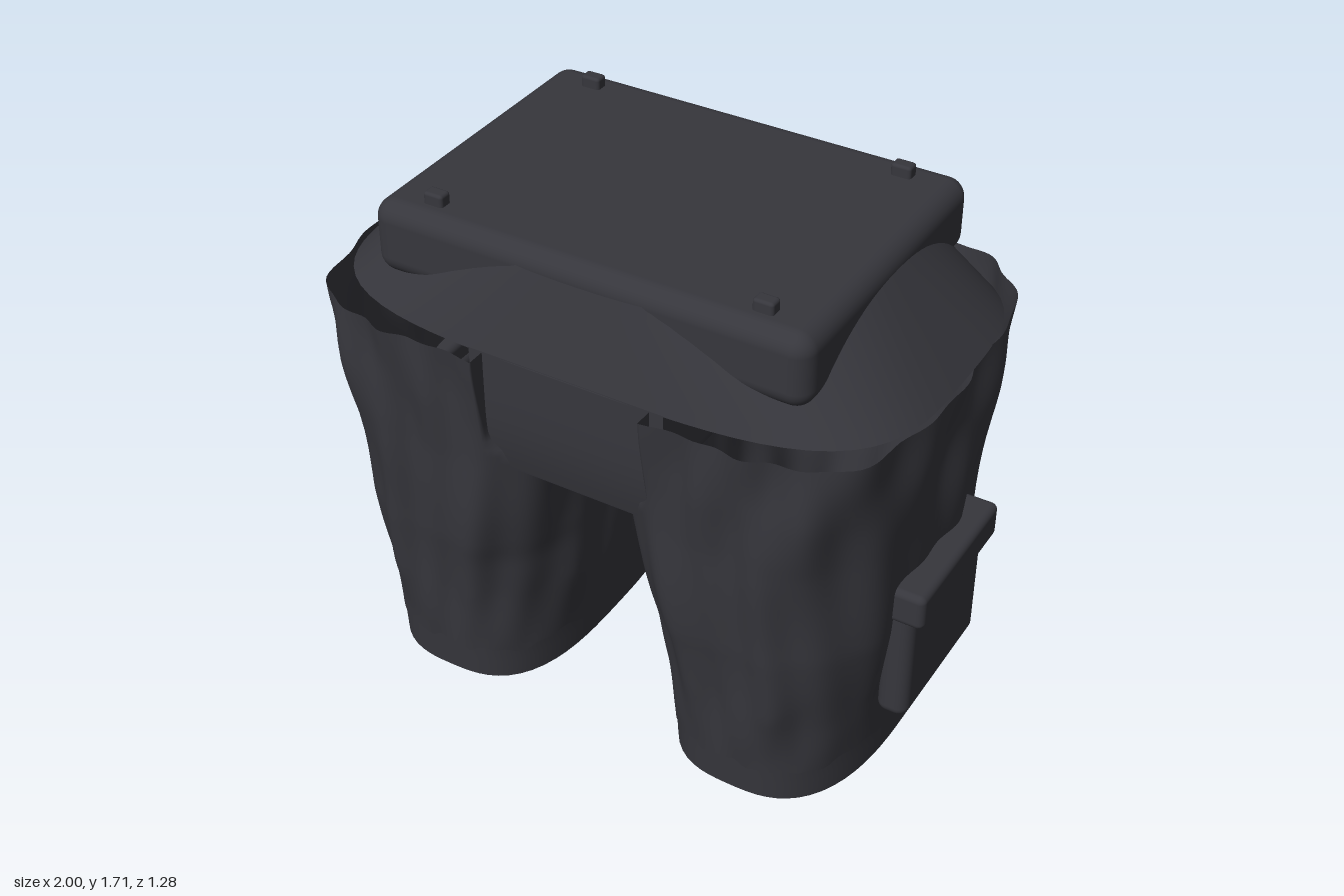
import * as THREE from 'three';
import { RoundedBoxGeometry } from 'three/addons/geometries/RoundedBoxGeometry.js';

const cloth = new THREE.MeshStandardMaterial({ color: 0x36363c, side: THREE.DoubleSide });
cloth.name = 'charcoal cloth';

// Smooth open tube: point(angle, v) gives [x, y, z], v runs upwards from 0 to 1
function tube(point, around, rows) {
  const pos = [], idx = [];
  for (let r = 0; r <= rows; r++)
    for (let i = 0; i < around; i++) pos.push(...point((i / around) * Math.PI * 2, r / rows));
  for (let r = 0; r < rows; r++)
    for (let i = 0; i < around; i++) {
      const j = (i + 1) % around, a = r * around + i, b = r * around + j;
      idx.push(a, a + around, b, b, a + around, b + around);
    }
  const g = new THREE.BufferGeometry();
  g.setAttribute('position', new THREE.Float32BufferAttribute(pos, 3));
  g.setIndex(idx);
  g.computeVertexNormals();
  return g;
}

// Point on a rounded rectangle (superellipse) with half sizes 1
function squircle(a, n) {
  const c = Math.cos(a), s = Math.sin(a);
  const k = Math.pow(Math.abs(c) ** n + Math.abs(s) ** n, -1 / n);
  return [c * k, s * k];
}

// Leg profile by height: y, inner x, outer x, half depth
const LEG = [
  [0, 0.21, 0.85, 0.53], [0.12, 0.205, 0.853, 0.537], [0.3, 0.185, 0.87, 0.552],
  [0.6, 0.155, 0.905, 0.587], [0.95, 0.14, 0.928, 0.6], [1.15, 0.15, 0.94, 0.618], [1.36, 0.16, 0.95, 0.628],
];
function legAt(y) {
  let i = 0;
  while (i < LEG.length - 2 && y > LEG[i + 1][0]) i++;
  const t = (y - LEG[i][0]) / (LEG[i + 1][0] - LEG[i][0]);
  return LEG[i].map((v, k) => v + (LEG[i + 1][k] - v) * t);
}
function legPoint(a, y, side, puff) {
  const [, inner, outer, depth] = legAt(y);
  const rise = THREE.MathUtils.smoothstep(y, 0.5, 1.05);
  const [x, z] = squircle(a, Math.cos(a) < 0 ? 3 + 4 * rise : 2.7 + 0.3 * rise);
  const px = (inner + outer) / 2 + x * ((outer - inner) / 2 + puff);
  // Above the crotch the inner edge is cut back beside the panels
  const cut = 0.13 + 0.145 * THREE.MathUtils.smoothstep(y, 0.92, 1.06);
  return [side * Math.max(px, cut), y, z * (depth + puff)];
}

export function createModel() {
  const model = new THREE.Group();
  const add = (name, geometry, x = 0, y = 0, z = 0) => {
    const m = new THREE.Mesh(geometry, cloth);
    m.name = name;
    m.position.set(x, y, z);
    model.add(m);
    return m;
  };

  for (const side of [1, -1]) {
    const label = side > 0 ? 'left' : 'right';

    // Trouser leg with slanting folds and a wavy hem
    add(label + 'Leg', tube((t, v) => {
      const a = side * t;
      const hem = 0.118 + 0.008 * Math.sin(13 * a) + 0.006 * Math.sin(29 * a + 1);
      const y = hem + (1.352 - hem) * v;
      const fade = Math.min(1, v * 5);
      const fold = 0.009 * Math.sin(9 * a + 4.5 * y + 1.2 * Math.sin(5 * y))
        + 0.007 * Math.sin(17 * a - 5 * y + 2) + 0.005 * Math.sin(4 * a + 9 * y);
      return legPoint(a, y, side, 0.003 + fold * fade);
    }, 160, 44));

    // Smooth cuff below the hem
    add(label + 'Cuff', tube((t, v) => legPoint(side * t, 0.14 * v, side, 0), 72, 4));

    // Cargo pocket and flap
    add(label + 'Pocket', new RoundedBoxGeometry(0.1, 0.44, 0.5, 4, 0.035), side * 0.915, 0.49, 0.02);
    add(label + 'PocketFlap', new RoundedBoxGeometry(0.122, 0.12, 0.525, 4, 0.022), side * 0.939, 0.71, 0.02);
  }

  // Hip yoke: sloping shell, open at top and bottom
  add('hipYoke', tube((a, v) => {
    const [x, z] = squircle(a, 3.6 - 1.1 * v);
    return [x * (0.945 - 0.245 * v), 1.35 + 0.27 * v, z * (0.592 - 0.075 * v)];
  }, 96, 8), 0, 0, -0.01);

  // Front and back crotch panels, curving inwards at the bottom
  for (const face of [1, -1]) {
    const g = new THREE.PlaneGeometry(0.64, 0.41, 4, 10);
    const p = g.attributes.position;
    for (let i = 0; i < p.count; i++) {
      const d = Math.max(0, 0.02 - p.getY(i)) / 0.225;
      p.setZ(i, -0.03 * d * d);
    }
    g.computeVertexNormals();
    const panel = add(face > 0 ? 'frontPanel' : 'backPanel', g, 0, 1.15, face * 0.591 - 0.01);
    if (face < 0) panel.rotation.y = Math.PI;
  }

  // Top slab with four small pegs
  add('topSlab', new RoundedBoxGeometry(1.41, 0.235, 1.01, 5, 0.06), 0, 1.555, -0.007);
  for (const x of [-0.53, 0.53])
    for (const z of [0.405, -0.415])
      add('peg', new RoundedBoxGeometry(0.065, 0.06, 0.045, 2, 0.01), x, 1.679, z);

  return model;
}
